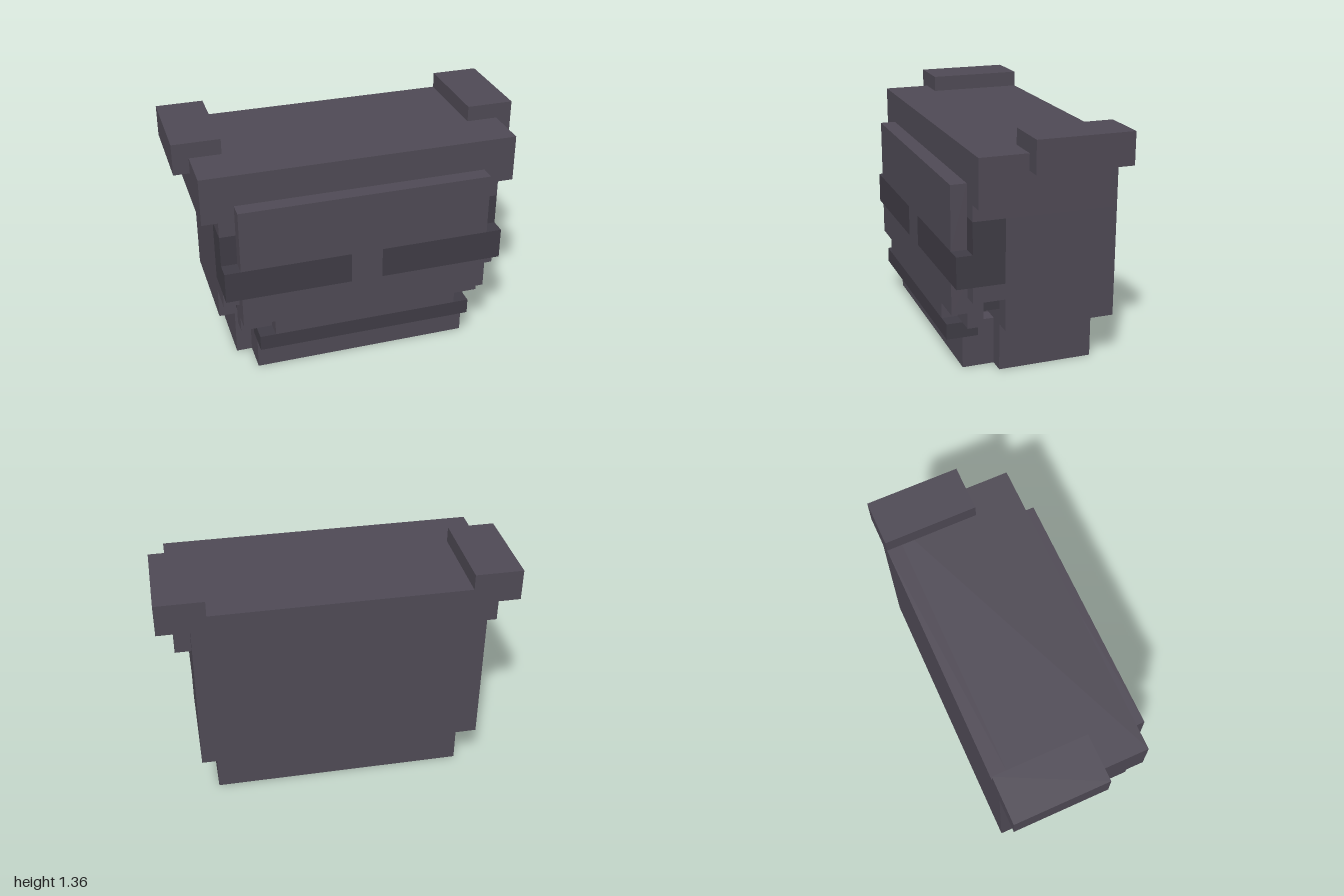
import * as THREE from 'three';

const U = 1 / 11; // one grid cell

export function createModel() {
  const model = new THREE.Group();
  const light = new THREE.MeshStandardMaterial({ color: 0x4f4a55, flatShading: true });
  const dark = new THREE.MeshStandardMaterial({ color: 0x3f3c45, flatShading: true });

  // Box between two corners, given in grid cells
  function block(name, [x0, x1], [y0, y1], [z0, z1], material = light) {
    const geometry = new THREE.BoxGeometry((x1 - x0) * U, (y1 - y0) * U, (z1 - z0) * U);
    const mesh = new THREE.Mesh(geometry, material);
    mesh.name = name;
    mesh.position.set((x0 + x1) / 2 * U, (y0 + y1) / 2 * U, (z0 + z1) / 2 * U);
    model.add(mesh);
  }
  // Block centred on x
  const wide = (name, half, y, z, material) => block(name, [-half, half], y, z, material);
  // Mirrored left and right blocks
  function pair(name, [x0, x1], y, z, material) {
    block('left' + name, [x0, x1], y, z, material);
    block('right' + name, [-x1, -x0], y, z, material);
  }

  // Head, stacked from the jaw to the crown
  wide('base', 8, [0, 3], [-4, 2]);
  wide('headLower', 9, [3, 5], [-5, 2]);
  wide('cheekBand', 9, [5, 6], [-5, 4]);
  wide('headMiddle', 9, [6, 10], [-5, 2]);
  wide('headUpper', 9, [10, 11], [-5, 4]);
  wide('crown', 10, [11, 14], [-4, 4]);
  wide('crownBack', 9, [11, 13], [-5, -4]);
  wide('crownBackTop', 8, [13, 14], [-5, -4]);
  pair('Horn', [8, 11], [13, 15], [-5, 1]);

  // Face
  wide('forehead', 8, [8, 12], [4, 5]);
  wide('noseBridge', 1, [6, 8], [4, 5]);
  wide('upperLip', 8, [4, 6], [4, 5]);
  wide('lipCentre', 6, [3, 4], [4, 5]);
  pair('Eye', [1, 9], [6, 8], [4, 5], dark);
  pair('Temple', [7, 9], [6, 10], [2, 4], dark);

  // Mouth and chin
  wide('mouthPlate', 8, [3, 5], [3, 4]);
  wide('mouthCorner', 8, [4, 5], [2, 3], dark);
  wide('mouthInner', 6, [3, 4], [2, 3]);
  wide('lowerLip', 7, [2, 3], [3, 5], dark);
  wide('chinTop', 7, [2, 3], [2, 3]);
  wide('chin', 7, [0, 2], [2, 4]);

  return model;
}
